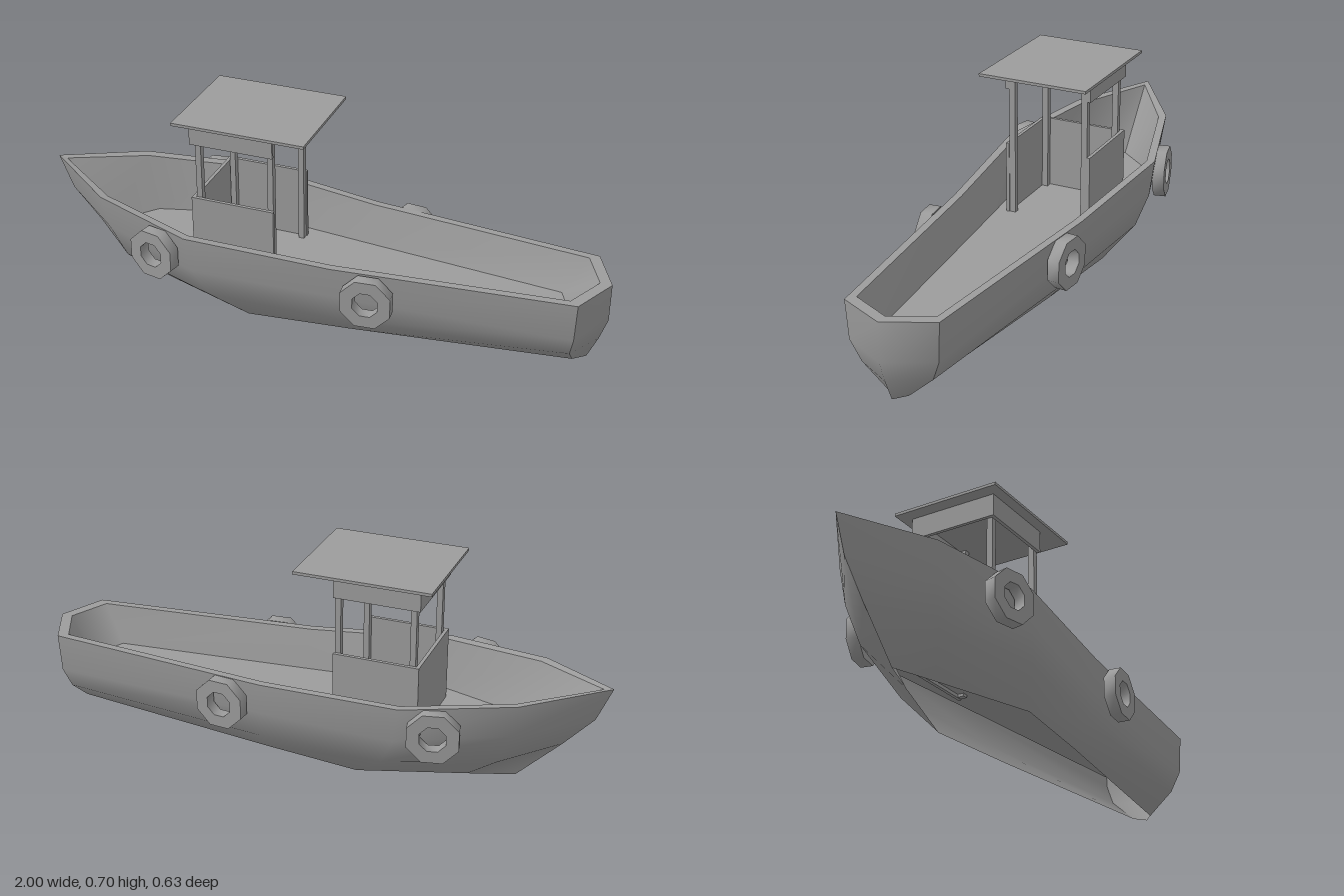
import * as THREE from 'three';
import { toCreasedNormals } from 'three/addons/utils/BufferGeometryUtils.js';

const material = new THREE.MeshStandardMaterial({ color: 0x9c9c9c, side: THREE.DoubleSide });

// Stations from bow to stern tip on the left half.
// Each runs: bottom, bilge, side, outer rim, inner rim, deck edge, deck centre.
const DECK = 0.155;
const CENTRE = [0, DECK, 0];
const HALF = [
  [[-0.70, 0, 0], [-0.85, 0.15, 0], [-0.95, 0.26, 0], [-1, 0.38, 0], [-0.968, 0.374, 0], [-0.79, DECK, 0], CENTRE],
  [[-0.55, 0, 0.053], [-0.67, 0.12, 0.144], [-0.72, 0.24, 0.17], [-0.74, 0.356, 0.182], [-0.725, 0.352, 0.158], [-0.68, DECK, 0.13], CENTRE],
  [[-0.20, 0, 0.171], [-0.31, 0.1, 0.248], [-0.36, 0.2, 0.276], [-0.38, 0.325, 0.286], [-0.375, 0.323, 0.257], [-0.36, DECK, 0.222], CENTRE],
  [[0.15, 0, 0.133], [0.13, 0.08, 0.205], [0.12, 0.18, 0.229], [0.12, 0.292, 0.239], [0.12, 0.292, 0.212], [0.12, DECK, 0.174], CENTRE],
  [[0.90, 0, 0.035], [0.905, 0.08, 0.123], [0.92, 0.155, 0.154], [0.925, 0.29, 0.161], [0.895, 0.29, 0.137], [0.82, DECK, 0.108], CENTRE],
  [[0.94, 0, 0], [0.975, 0.08, 0], [1, 0.155, 0], [1, 0.29, 0], [0.96, 0.29, 0], [0.87, DECK, 0], CENTRE],
];
const LOOP = [...HALF, ...HALF.slice(0, -1).reverse().map(s => s.map(([x, y, z]) => [x, y, -z]))];

// Smooth panel spanning some stations of the loop and some levels of each station
function panel(name, [s0, s1], [l0, l1]) {
  const rows = LOOP.slice(s0, s1 + 1).map(s => s.slice(l0, l1 + 1));
  const w = l1 - l0 + 1;
  const index = [];
  for (let i = 0; i < s1 - s0; i++) {
    for (let k = 0; k < w - 1; k++) {
      const a = i * w + k, b = a + w;
      index.push(a, b, b + 1, a, b + 1, a + 1);
    }
  }
  const geometry = new THREE.BufferGeometry();
  geometry.setAttribute('position', new THREE.Float32BufferAttribute(rows.flat(2), 3));
  geometry.setIndex(index);
  geometry.computeVertexNormals();
  const mesh = new THREE.Mesh(geometry, material);
  mesh.name = name;
  return mesh;
}

// Box given by its lower and upper limits on each axis
function box(name, [x0, x1], [y0, y1], [z0, z1]) {
  const mesh = new THREE.Mesh(new THREE.BoxGeometry(x1 - x0, y1 - y0, z1 - z0), material);
  mesh.position.set((x0 + x1) / 2, (y0 + y1) / 2, (z0 + z1) / 2);
  mesh.name = name;
  return mesh;
}

// Eight-sided ring fender, turned to lie along the hull
function fender(x, y, z, yaw, side) {
  const h = 0.021, outer = 0.091, inner = 0.046;
  const profile = [[inner, -h], [outer, -h], [outer, h], [inner, h], [inner, -h]];
  const lathe = new THREE.LatheGeometry(profile.map(p => new THREE.Vector2(...p)), 8, Math.PI / 8);
  lathe.rotateX(Math.PI / 2);
  const mesh = new THREE.Mesh(toCreasedNormals(lathe, 0.9), material);
  mesh.position.set(x, y, z * side);
  mesh.rotation.y = yaw * side;
  mesh.name = 'fender';
  return mesh;
}

export function createModel() {
  const boat = new THREE.Group();
  boat.name = 'boat';

  // Hull: open below, closed by the deck
  const hull = new THREE.Group();
  hull.name = 'hull';
  hull.add(
    panel('leftSide', [0, 4], [0, 3]),
    panel('transom', [4, 6], [0, 3]),
    panel('rightSide', [6, 10], [0, 3]),
    panel('gunwale', [0, 10], [3, 4]),
    panel('innerWall', [0, 10], [4, 5]),
    panel('deck', [0, 10], [5, 6]),
  );
  boat.add(hull);

  // Wheelhouse: three-sided lower wall and header, open towards the stern
  const cabin = new THREE.Group();
  cabin.name = 'cabin';
  const front = -0.403, back = -0.108, half = 0.159, t = 0.012;
  for (const [name, ys] of [['lowerWall', [0.143, 0.413]], ['header', [0.613, 0.69]]]) {
    cabin.add(box(name + 'Front', [front, front + t], ys, [-half, half]));
    for (const s of [-1, 1]) {
      const zs = [s * half, s * (half - t)].sort((a, b) => a - b);
      cabin.add(box(name + 'Side', [front + t, back], ys, zs));
    }
  }

  // Corner posts
  for (const x of [-0.388, -0.131]) {
    for (const s of [-1, 1]) {
      cabin.add(box('post', [x, x + 0.02], [0.145, 0.69], [s * 0.136 - 0.011, s * 0.136 + 0.011]));
    }
  }
  cabin.add(box('roof', [-0.45, 0.016], [0.69, 0.7], [-0.197, 0.195]));
  cabin.position.z = 0.001;
  boat.add(cabin);

  // Fenders on both sides
  const fenders = new THREE.Group();
  fenders.name = 'fenders';
  for (const s of [-1, 1]) {
    fenders.add(fender(-0.493, 0.244, 0.274, -0.22, s));
    fenders.add(fender(0.255, 0.205, 0.25, 0.09, s));
  }
  fenders.position.z = 0.004;
  boat.add(fenders);

  boat.position.z = -0.006;
  const model = new THREE.Group();
  model.add(boat);
  return model;
}
